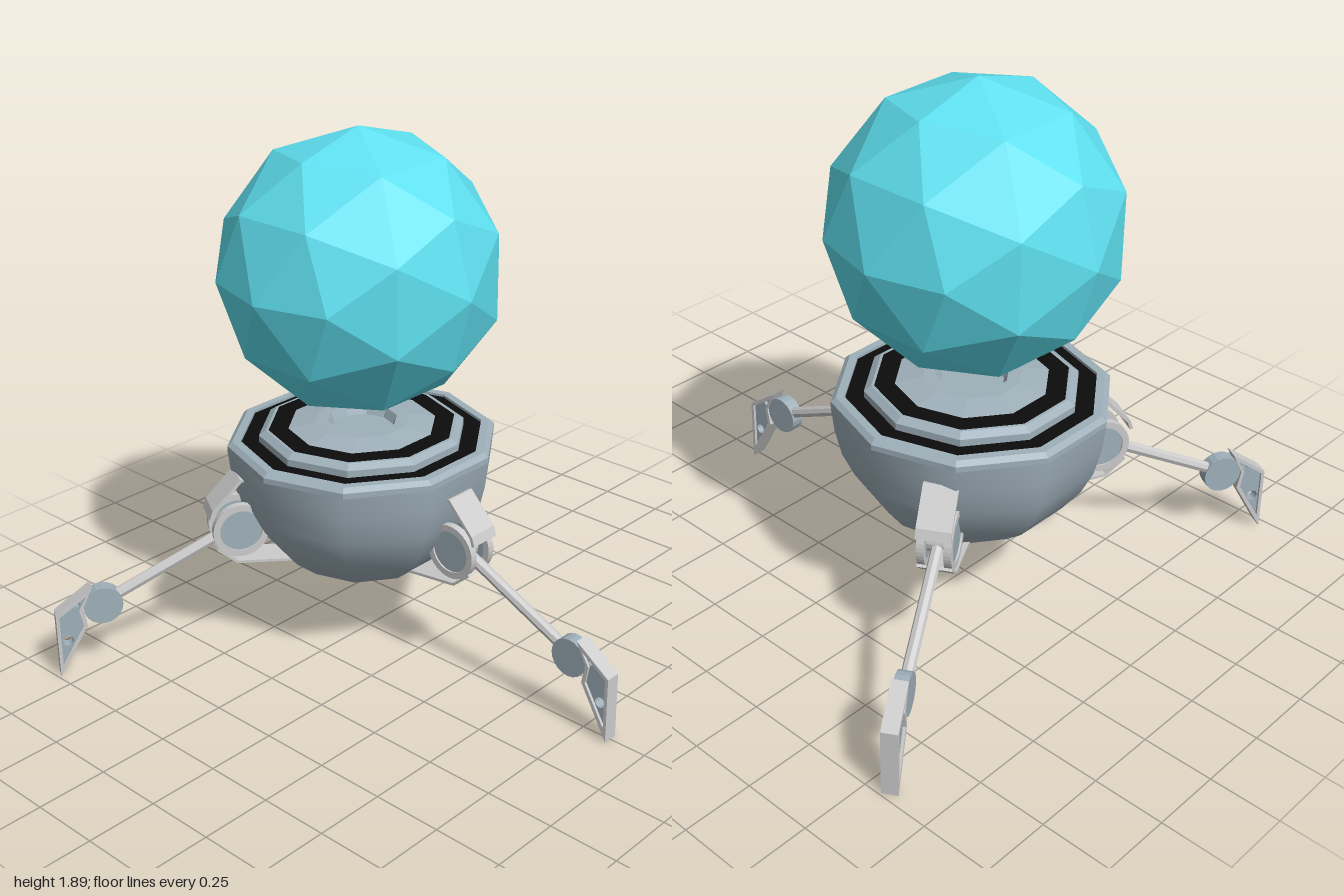
import * as THREE from 'three';

const mat = (color, flat = false) =>
  new THREE.MeshStandardMaterial({ color, flatShading: flat, side: THREE.DoubleSide });
const GREY = mat(0xcccccc, true);
const STEEL = mat(0x9fb0ba, true);
const STEEL_SMOOTH = mat(0x9fb0ba);
const BLACK = mat(0x0c0c0c, true);
const CYAN = mat(0x5fe0f0, true);

const CX = -0.27; // axis of the body
const v2 = ([x, y]) => new THREE.Vector2(x, y);

function add(parent, name, geometry, material) {
  const mesh = new THREE.Mesh(geometry, material);
  mesh.name = name;
  parent.add(mesh);
  return mesh;
}

// ten-sided turned band, profile listed from bottom centre round to top centre
const band = (pts) => new THREE.LatheGeometry(pts.map(v2), 10);

// plate in the leg's plane, centred on z = 0
function plate(pts, width, holes = []) {
  const shape = new THREE.Shape(pts.map(v2));
  shape.holes.push(...holes);
  const g = new THREE.ExtrudeGeometry(shape, { depth: width, bevelEnabled: false, curveSegments: 10 });
  return g.translate(0, 0, -width / 2);
}

function circle(x, y, r) {
  const p = new THREE.Path();
  p.absarc(x, y, r, 0, Math.PI * 2, true);
  return p;
}

// thin strap following a line of points, given a thickness
function strap(pts, width, t) {
  const back = pts.map(([x, y], i) => {
    const a = pts[Math.max(i - 1, 0)], b = pts[Math.min(i + 1, pts.length - 1)];
    const l = Math.hypot(b[0] - a[0], b[1] - a[1]);
    return [x + ((b[1] - a[1]) / l) * -t, y + ((b[0] - a[0]) / l) * t];
  });
  return plate([...pts, ...back.reverse()], width);
}

function makeBody() {
  const body = new THREE.Group();
  body.name = 'body';
  add(body, 'bottomCap', band([[0, 0.26], [0.129, 0.26]]), STEEL);
  add(body, 'bottomRing', band([[0.129, 0.26], [0.25, 0.31]]), BLACK);
  add(body, 'bowl', band([[0.25, 0.31], [0.34, 0.385], [0.405, 0.47], [0.448, 0.56],
    [0.472, 0.66], [0.4826, 0.755]]), STEEL_SMOOTH);
  add(body, 'rim', band([[0.4826, 0.755], [0.4826, 0.775], [0.465, 0.79], [0.435, 0.79], [0.435, 0.78]]), STEEL);
  add(body, 'outerGroove', band([[0.435, 0.78], [0.37, 0.78]]), BLACK);
  add(body, 'deck', band([[0.37, 0.78], [0.37, 0.805], [0.345, 0.822], [0.335, 0.822]]), STEEL);
  add(body, 'innerGroove', band([[0.335, 0.822], [0.265, 0.822]]), BLACK);
  add(body, 'emitter', band([[0.265, 0.822], [0.17, 0.838], [0.125, 0.838],
    [0.11, 0.805], [0, 0.805]]), STEEL);
  return body;
}

function makeLeg() {
  const leg = new THREE.Group();
  leg.name = 'leg';

  // bracket straps above and below the hip
  add(leg, 'upperStrap', strap([[0.565, 0.545], [0.555, 0.575], [0.455, 0.68], [0.43, 0.67]], 0.118, -0.012), GREY);
  add(leg, 'lowerStrap', strap([[0.27, 0.34], [0.485, 0.365], [0.555, 0.425]], 0.118, 0.01), GREY);

  // hip: a ring and a disc on both sides, with a thin axle
  for (const s of [-1, 1]) {
    const ringShape = new THREE.Shape();
    ringShape.absarc(0, 0, 0.1, 0, Math.PI * 2, false);
    ringShape.holes.push(circle(0, 0, 0.076));
    const ring = add(leg, 'hipRing', new THREE.ExtrudeGeometry(ringShape,
      { depth: 0.026, bevelEnabled: false, curveSegments: 20 }).translate(0, 0, -0.013), GREY);
    ring.position.set(0.465, 0.49, s * 0.045);
    const disc = add(leg, 'hipDisc',
      new THREE.CylinderGeometry(0.078, 0.078, 0.016, 20).rotateX(Math.PI / 2), STEEL);
    disc.position.set(0.465, 0.49, s * 0.044);
  }
  const axle = add(leg, 'hipAxle',
    new THREE.CylinderGeometry(0.05, 0.05, 0.08, 16).rotateX(Math.PI / 2), GREY);
  axle.position.set(0.465, 0.49, 0);

  // rod from hip to knee
  const a = new THREE.Vector3(0.48, 0.485, 0), b = new THREE.Vector3(0.95, 0.265, 0);
  const dir = b.clone().sub(a);
  const rod = add(leg, 'rod', new THREE.CylinderGeometry(0.021, 0.021, dir.length(), 8), GREY);
  rod.position.copy(a).add(b).multiplyScalar(0.5);
  rod.quaternion.setFromUnitVectors(new THREE.Vector3(0, 1, 0), dir.normalize());

  // knee
  const knee = add(leg, 'knee',
    new THREE.CylinderGeometry(0.07, 0.07, 0.048, 20).rotateX(Math.PI / 2), STEEL);
  knee.position.set(0.962, 0.257, 0);

  // foot: raised frame round a pierced web
  const outer = [[0.997, 0.338], [1.13, 0.243], [1.13, 0], [1.022, 0.19], [1.035, 0.257]];
  const inner = [[1.02, 0.305], [1.118, 0.236], [1.118, 0.05], [1.036, 0.193], [1.048, 0.257]];
  add(leg, 'footFrame', plate(outer, 0.056, [new THREE.Path(inner.map(v2).reverse())]), GREY);
  add(leg, 'footWeb', plate(inner, 0.036,
    [circle(1.073, 0.212, 0.035), circle(1.094, 0.137, 0.02), circle(1.052, 0.274, 0.011)]), STEEL);
  return leg;
}

export function createModel() {
  const model = new THREE.Group();
  model.name = 'tripodWithOrb';

  // faceted ball floating over the body
  const orb = add(model, 'orb', new THREE.IcosahedronGeometry(0.5, 1), CYAN);
  orb.rotation.y = Math.PI / 2;
  orb.position.set(CX, 1.395, 0);

  const body = makeBody();
  body.position.x = CX;
  model.add(body);

  // three legs spaced evenly round the body
  for (let i = 0; i < 3; i++) {
    const leg = makeLeg();
    leg.position.x = CX;
    leg.rotation.y = (i * Math.PI * 2) / 3;
    model.add(leg);
  }
  return model;
}
